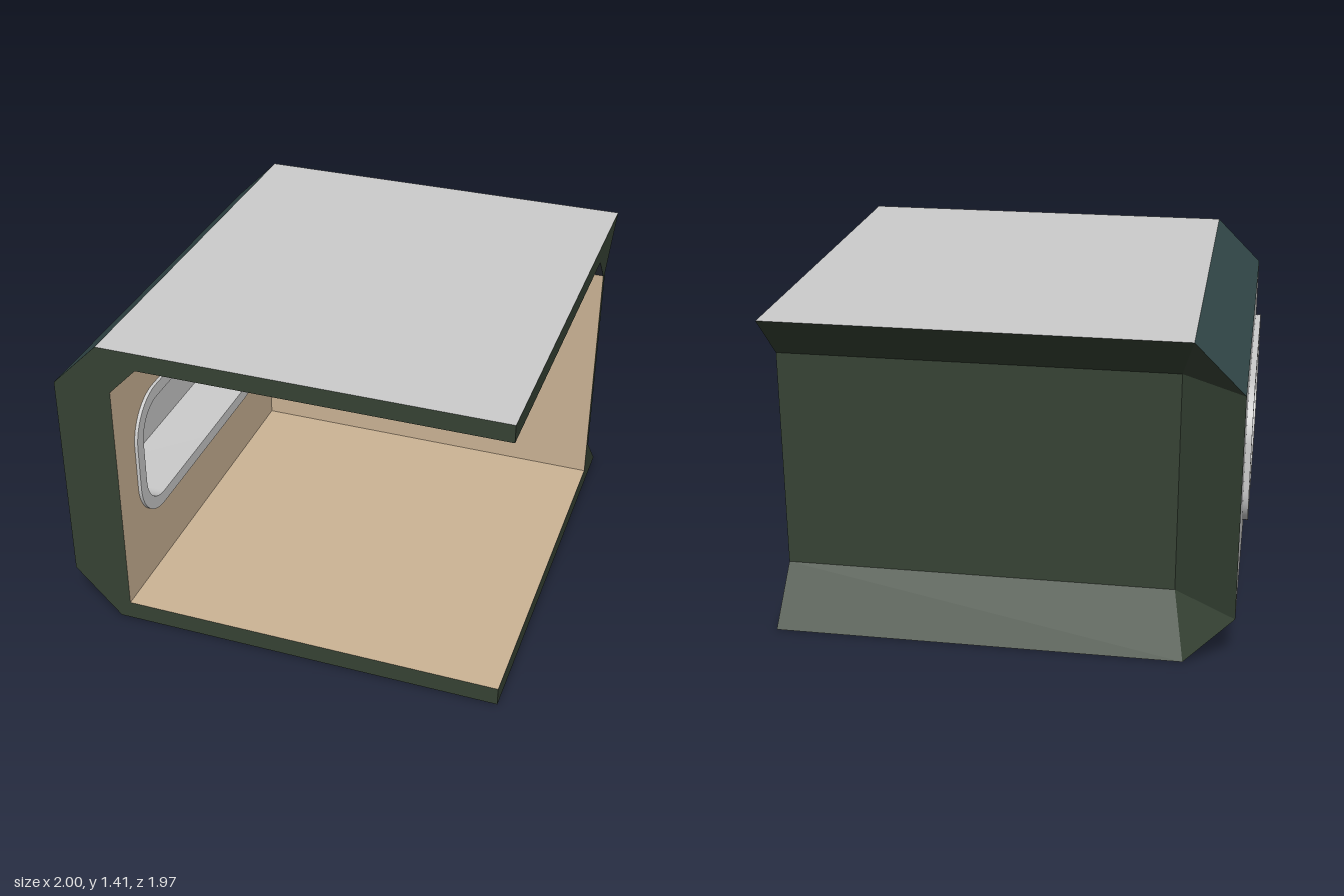
import * as THREE from 'three';
import { toCreasedNormals } from 'three/addons/utils/BufferGeometryUtils.js';

const paint = (name, color) => {
  const m = new THREE.MeshStandardMaterial({ color });
  m.name = name;
  return m;
};

// Flat faces from outlines; each faces the side given by its "out" direction
function faces(list) {
  const pos = [];
  for (const { pts, out, holes = [] } of list) {
    const drop = [0, 1, 2].reduce((a, b) => (Math.abs(out[b]) > Math.abs(out[a]) ? b : a));
    const flat = (p) => new THREE.Vector2(...p.filter((_, i) => i !== drop));
    const all = [pts, ...holes].flat();
    const tris = THREE.ShapeUtils.triangulateShape(pts.map(flat), holes.map((h) => h.map(flat)));
    for (const t of tris) {
      const [a, b, c] = t.map((i) => new THREE.Vector3(...all[i]));
      const n = b.clone().sub(a).cross(c.clone().sub(a));
      const order = n.dot(new THREE.Vector3(...out)) < 0 ? [a, c, b] : [a, b, c];
      order.forEach((v) => pos.push(v.x, v.y, v.z));
    }
  }
  const g = new THREE.BufferGeometry();
  g.setAttribute('position', new THREE.Float32BufferAttribute(pos, 3));
  g.computeVertexNormals();
  return g;
}

// Rounded rectangle, centred on the window (z across, y up)
function rounded(Type, w, h, r) {
  const s = new Type(), x = w / 2, y = h / 2, cz = 0.133, cy = 0.71;
  s.absarc(cz + x - r, cy + y - r, r, 0, Math.PI / 2);
  s.absarc(cz - x + r, cy + y - r, r, Math.PI / 2, Math.PI);
  s.absarc(cz - x + r, cy - y + r, r, Math.PI, Math.PI * 1.5);
  s.absarc(cz + x - r, cy - y + r, r, Math.PI * 1.5, Math.PI * 2);
  s.closePath();
  return s;
}

export function createModel() {
  const model = new THREE.Group();
  const gray = paint('light gray', 0xcccccc);
  const tan = paint('tan', 0xccb495);
  const green = paint('dark green', 0x364234);
  const teal = paint('dark teal', 0x344a4b);
  const blue = paint('slate blue', 0x3c444e);
  const add = (name, geometry, material) => {
    const mesh = new THREE.Mesh(geometry, material);
    mesh.name = name;
    model.add(mesh);
    return mesh;
  };

  // Main levels and planes
  const E = 1, F = 0.987, B = -0.987;
  const top = 1.41, hi = 1.2, lo = 0.22, ceil = 1.33, floor = 0.085;
  const L = -0.975, R = -0.765;             // outer side wall, roof edge
  const iL = -0.715, cL = -0.59;            // inner side wall, ceiling edge
  const iB = -0.725, cB = -0.6, oB = -0.765; // inner back wall, ceiling edge, recessed back
  const fold = -0.71;

  // Roof and base
  const slab = (y) => [[R, y, B], [E, y, B], [E, y, F], [R, y, F]];
  add('roof', faces([{ pts: slab(top), out: [0, 1, 0] }]), gray);
  add('base', faces([{ pts: slab(0), out: [0, -1, 0] }]), gray);

  // Outer side wall with window opening
  const opening = rounded(THREE.Path, 1.3, 0.57, 0.18).getPoints(12).slice(0, -1);
  const hole = (x) => opening.map((p) => [x, p.y, p.x]);
  add('outerSideWall', faces([{
    pts: [[L, lo, B], [L, hi, B], [L, hi, F], [L, lo, F]], holes: [hole(L)], out: [-1, 0, 0],
  }]), gray);

  // Sloped edges of the side wall
  add('upperSideSlope', faces([{ pts: [[L, hi, B], [R, top, B], [R, top, F], [L, hi, F]], out: [-1, 1, 0] }]), teal);
  add('lowerSideSlope', faces([{ pts: [[L, lo, B], [R, 0, B], [R, 0, F], [L, lo, F]], out: [-1, -1, 0] }]), green);

  // Recessed back wall with flared edges and corner
  add('backWall', faces([
    { pts: [[fold, lo, oB], [E, lo, oB], [E, hi, oB], [fold, hi, oB]], out: [0, 0, -1] },
    { pts: [[fold, hi, oB], [E, hi, oB], [E, top, B], [R, top, B]], out: [0, -1, -1] },
    { pts: [[fold, lo, oB], [E, lo, oB], [E, 0, B], [R, 0, B]], out: [0, 1, -1] },
    { pts: [[fold, lo, oB], [fold, hi, oB], [L, hi, B], [L, lo, B]], out: [1, 0, -1.1] },
    { pts: [[fold, hi, oB], [L, hi, B], [R, top, B]], out: [0.5, -0.4, -1] },
    { pts: [[fold, lo, oB], [L, lo, B], [R, 0, B]], out: [0.5, 0.4, -1] },
  ]), green);

  // Cut faces at the two open ends
  const frontCut = [[E, top], [R, top], [L, hi], [L, lo], [R, 0], [E, 0], [E, floor],
    [iL, floor], [iL, hi], [cL, ceil], [E, ceil]];
  const sideCut = [[F, top], [B, top], [oB, hi], [oB, lo], [B, 0], [F, 0], [F, floor],
    [iB, floor], [iB, hi], [cB, ceil], [F, ceil]];
  add('frontEdge', faces([{ pts: frontCut.map(([x, y]) => [x, y, F]), out: [0, 0, 1] }]), green);
  add('sideEdge', faces([{ pts: sideCut.map(([z, y]) => [E, y, z]), out: [1, 0, 0] }]), green);

  // Room lining
  add('floor', faces([{ pts: [[iL, floor, iB], [E, floor, iB], [E, floor, F], [iL, floor, F]], out: [0, 1, 0] }]), tan);
  add('ceiling', faces([{ pts: [[cL, ceil, cB], [E, ceil, cB], [E, ceil, F], [cL, ceil, F]], out: [0, -1, 0] }]), tan);
  add('innerBackWall', faces([{ pts: [[iL, floor, iB], [E, floor, iB], [E, hi, iB], [iL, hi, iB]], out: [0, 0, 1] }]), tan);
  add('innerSideWall', faces([{
    pts: [[iL, floor, iB], [iL, hi, iB], [iL, hi, F], [iL, floor, F]], holes: [hole(iL)], out: [1, 0, 0],
  }]), tan);
  add('ceilingSlopes', faces([
    { pts: [[iL, hi, iB], [E, hi, iB], [E, ceil, cB], [cL, ceil, cB]], out: [0, -1, 1] },
    { pts: [[iL, hi, iB], [iL, hi, F], [cL, ceil, F], [cL, ceil, cB]], out: [1, -1, 0] },
  ]), blue);

  // Window frame running through the wall, and its pane
  const ring = rounded(THREE.Shape, 1.37, 0.63, 0.21);
  ring.holes.push(rounded(THREE.Path, 1.256, 0.512, 0.155));
  const extrude = (shape, depth) => toCreasedNormals(
    new THREE.ExtrudeGeometry(shape, { depth, bevelEnabled: false, curveSegments: 12 }).rotateY(-Math.PI / 2), 0.6);
  add('windowFrame', extrude(ring, 0.3), gray).position.x = -0.7;
  add('windowPane', extrude(rounded(THREE.Shape, 1.26, 0.516, 0.157), 0.008), gray).position.x = -0.96;

  return model;
}
